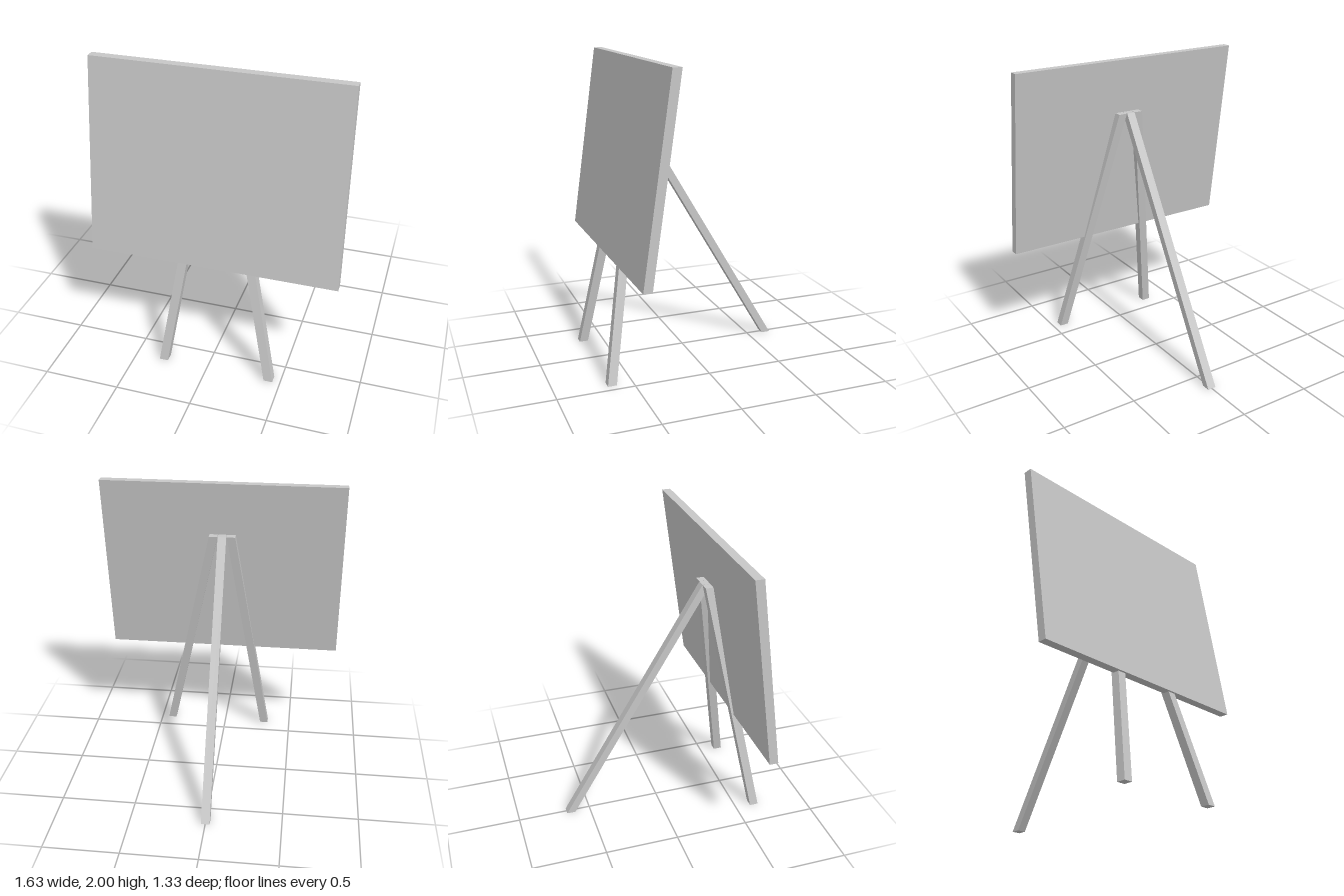
import * as THREE from 'three';

const grey = new THREE.MeshStandardMaterial({ color: 0xc6c6c6 });
grey.name = 'plain grey';

// Slanted bar with level ends: bottom and top are [x, y, z] centres of its end faces
function slantedBar(name, width, depth, bottom, top) {
  const geometry = new THREE.BoxGeometry(width, 1, depth);
  const pos = geometry.attributes.position;
  const from = new THREE.Vector3(...bottom);
  const to = new THREE.Vector3(...top);
  const centre = new THREE.Vector3();
  for (let i = 0; i < pos.count; i++) {
    centre.lerpVectors(from, to, pos.getY(i) + 0.5);
    pos.setXYZ(i, pos.getX(i) + centre.x, centre.y, pos.getZ(i) + centre.z);
  }
  geometry.computeVertexNormals();
  const mesh = new THREE.Mesh(geometry, grey);
  mesh.name = name;
  return mesh;
}

export function createModel() {
  const group = new THREE.Group();
  group.name = 'easel';
  const thick = 0.058;

  // Leaning board
  group.add(slantedBar('board', 1.634, thick, [0, 0.73, 0.516], [0, 2, 0.334]));

  // Three legs meeting side by side behind the board
  group.add(
    slantedBar('frontLeftLeg', thick, thick, [0.421, 0, 0.636], [0.06, 1.635, 0.334]),
    slantedBar('frontRightLeg', thick, thick, [-0.304, 0, 0.636], [-0.06, 1.635, 0.334]),
    slantedBar('backLeg', thick, thick, [0, 0, -0.636], [0, 1.635, 0.334]),
  );
  return group;
}
